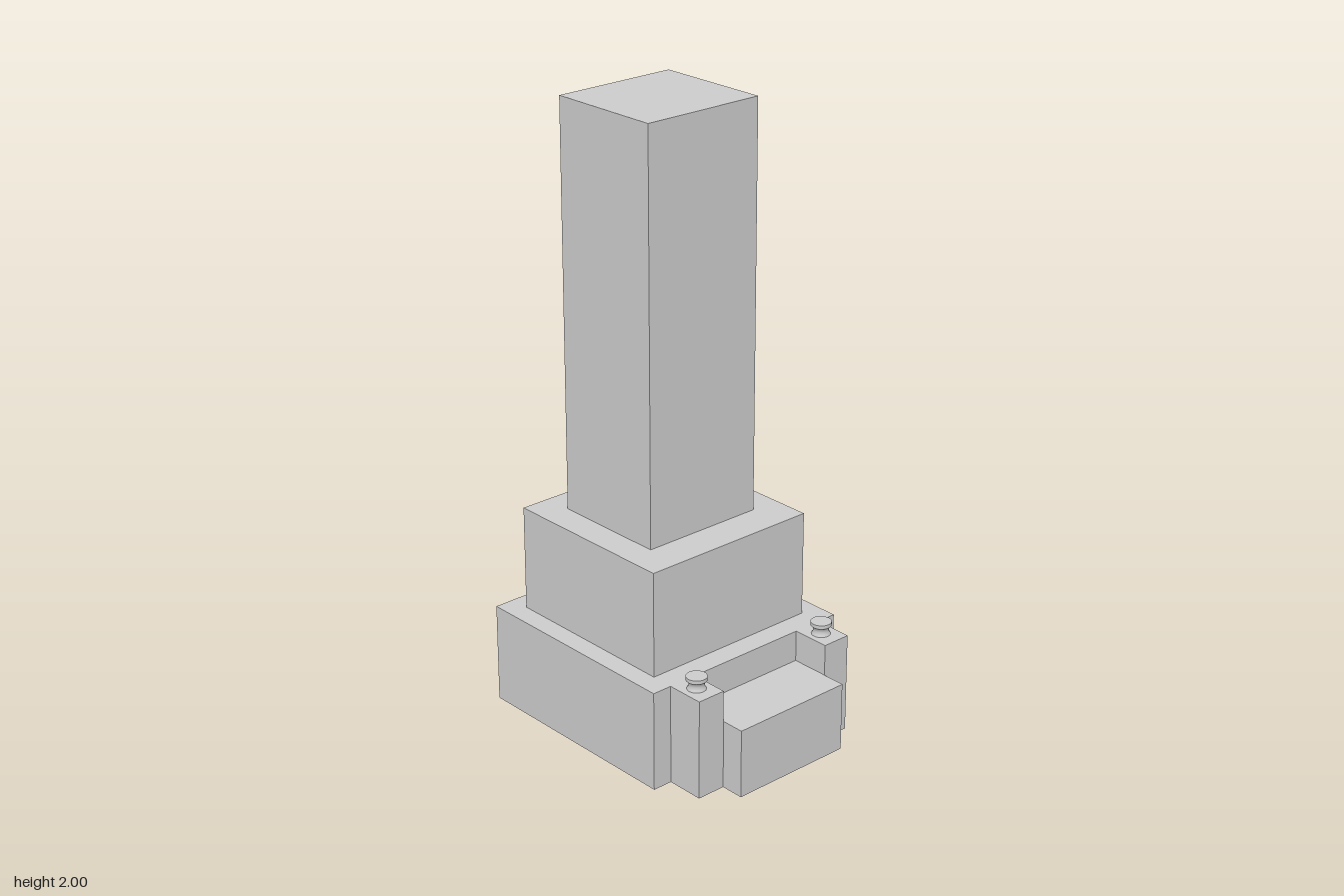
import * as THREE from 'three';

const material = new THREE.MeshStandardMaterial({ color: 0xcccccc });

function addMesh(group, name, geometry) {
  const mesh = new THREE.Mesh(geometry, material);
  mesh.name = name;
  group.add(mesh);
  return mesh;
}

// Box given by its half width and its y and z ranges
function addBlock(group, name, halfWidth, y0, y1, z0, z1) {
  const mesh = addMesh(group, name, new THREE.BoxGeometry(2 * halfWidth, y1 - y0, z1 - z0));
  mesh.position.set(0, (y0 + y1) / 2, (z0 + z1) / 2);
}

export function createModel() {
  const group = new THREE.Group();
  group.name = 'steppedTower';
  const baseTop = 0.33;

  // Base: square plan with two front buttresses, drawn as (x, -z) and extruded upward
  const half = [[0.377, 0.48], [0.377, -0.275], [0.31, -0.275], [0.31, -0.402], [0.212, -0.402], [0.212, -0.275]];
  const outline = [...half, ...half.map(([x, y]) => [-x, y]).reverse()];
  const plan = new THREE.Shape(outline.map(([x, y]) => new THREE.Vector2(x, y)));
  const base = new THREE.ExtrudeGeometry(plan, { depth: baseTop, bevelEnabled: false });
  base.rotateX(-Math.PI / 2);
  addMesh(group, 'base', base);

  // Low step between the buttresses
  addBlock(group, 'frontStep', 0.212, 0, 0.227, 0.275, 0.48);

  // Upper tiers
  addBlock(group, 'middleTier', 0.31, baseTop, 0.677, -0.412, 0.2);
  addBlock(group, 'tower', 0.212, 0.677, 2, -0.315, 0.076);

  // Spool-shaped finials on the buttresses
  const profile = [[0.03, 0], [0.026, 0.007], [0.024, 0.015], [0.026, 0.024], [0.033, 0.03], [0.033, 0.03], [0.033, 0.042], [0.033, 0.042], [0, 0.042]];
  const spool = new THREE.LatheGeometry(profile.map(([r, y]) => new THREE.Vector2(r, y)), 32);
  for (const [name, side] of [['leftFinial', 1], ['rightFinial', -1]]) {
    addMesh(group, name, spool).position.set(side * 0.26, baseTop, 0.335);
  }

  return group;
}
